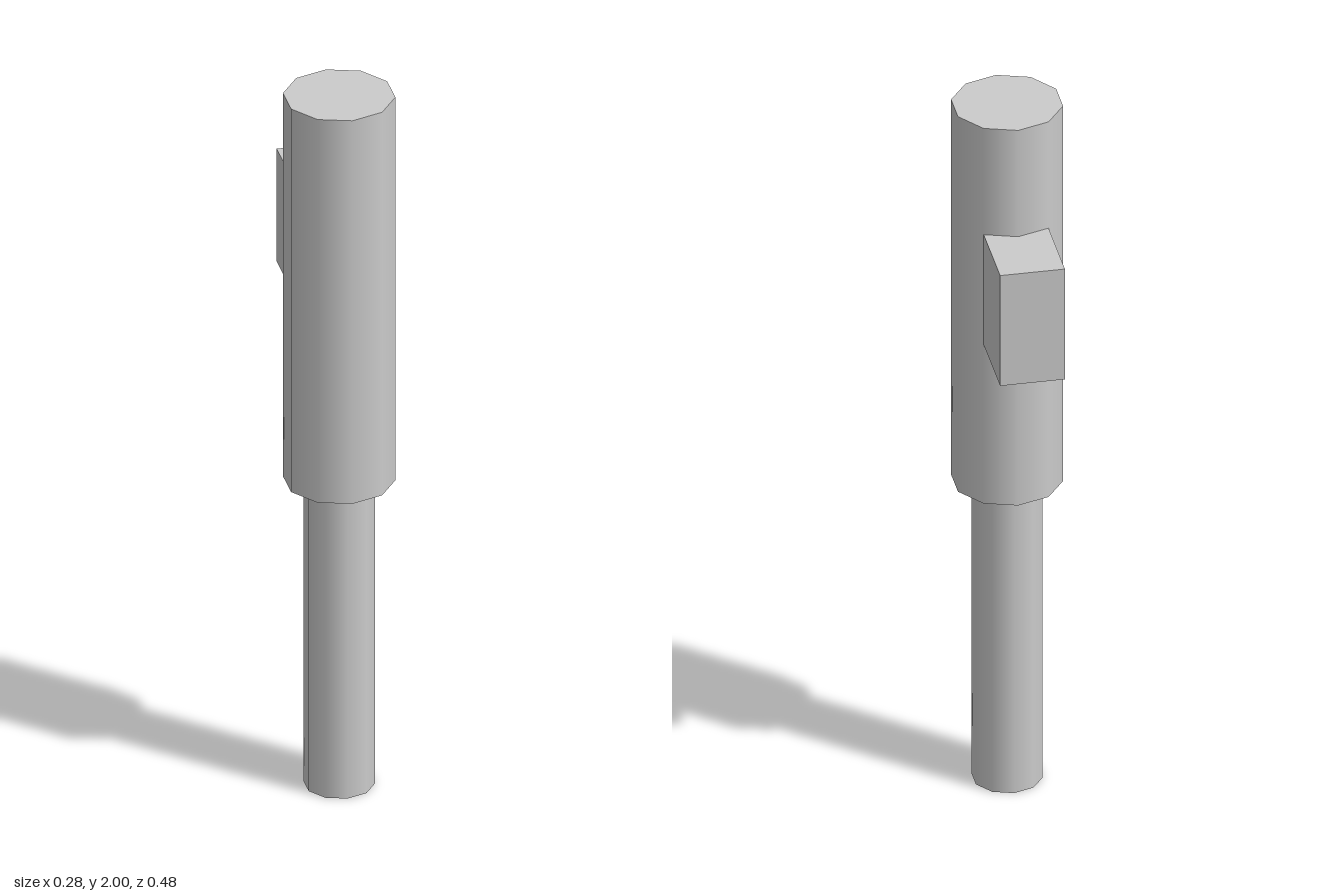
import * as THREE from 'three';

export function createModel() {
  const model = new THREE.Group();
  const material = new THREE.MeshStandardMaterial({ color: 0xcccccc });
  const SIDES = 10;
  const AXIS_Z = 0.093; // shared axis of both tubes

  const add = (name, geometry, y, z) => {
    const mesh = new THREE.Mesh(geometry, material);
    mesh.name = name;
    mesh.position.set(0, y, z);
    model.add(mesh);
  };

  // Smooth-shaded ten-sided cylinder between two heights
  const addCylinder = (name, radius, bottom, top) =>
    add(name, new THREE.CylinderGeometry(radius, radius, top - bottom, SIDES), (bottom + top) / 2, AXIS_Z);

  addCylinder('lowerRod', 0.092, 0, 0.885);
  addCylinder('upperBarrel', 0.145, 0.885, 2);

  // Mounting block on the back, meeting the barrel along two of its edges
  const front = -0.024, back = -0.238;
  add('mountingBlock', new THREE.BoxGeometry(0.17, 0.328, front - back), 1.52, (front + back) / 2);

  return model;
}
